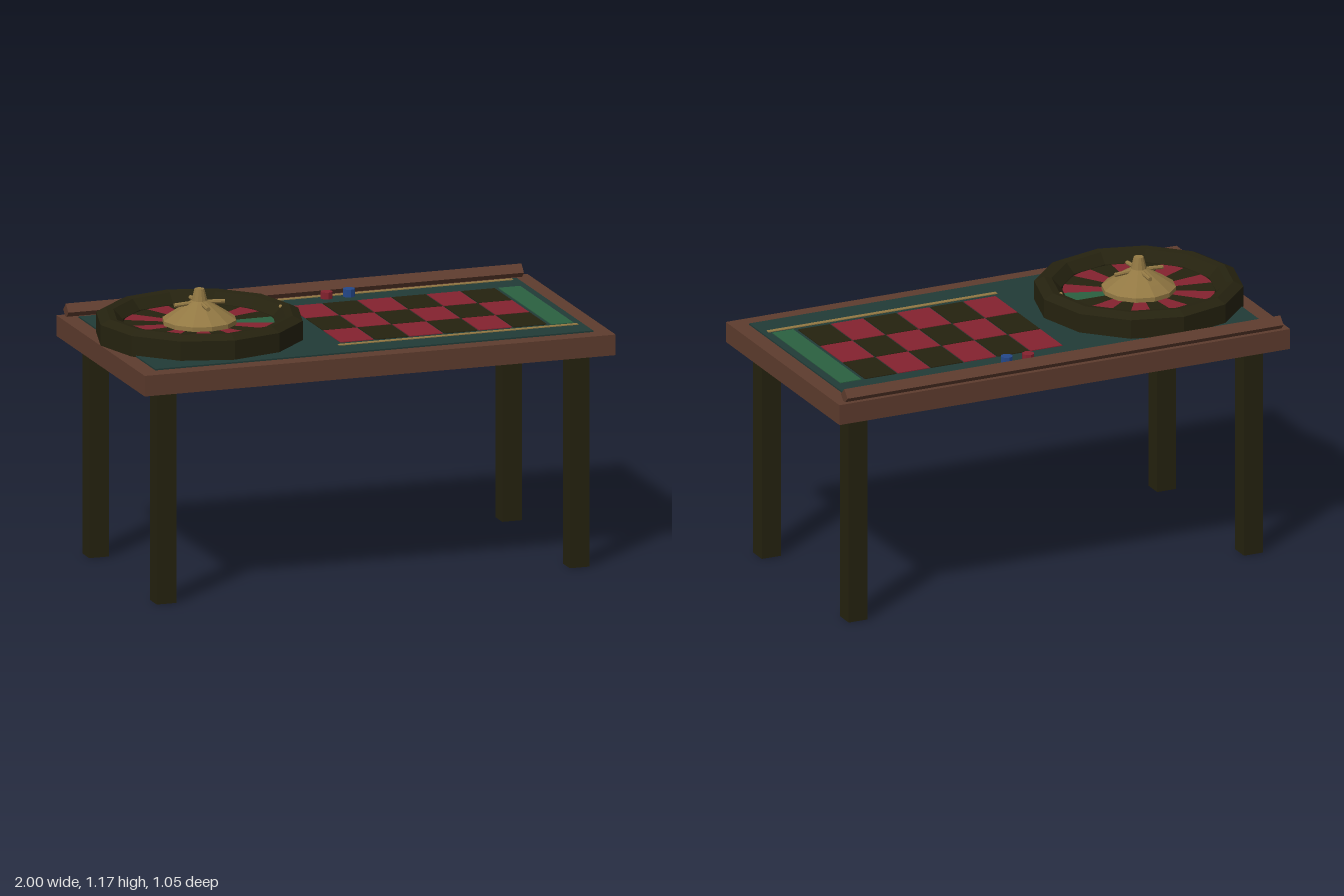
import * as THREE from 'three';

const mat = (name, color) => {
  const m = new THREE.MeshStandardMaterial({ color, flatShading: true });
  m.name = name;
  return m;
};

export function createModel() {
  const wood = mat('brown wood', 0x5e3c2e);
  const dark = mat('dark wood', 0x25220f);
  const felt = mat('teal felt', 0x213b37);
  const red = mat('red', 0x84222f);
  const green = mat('green', 0x2b6141);
  const gold = mat('brass', 0x927843);
  const blue = mat('blue', 0x24488a);

  const root = new THREE.Group();
  root.name = 'rouletteTable';
  const add = (name, geometry, material, x = 0, y = 0, z = 0, parent = root) => {
    const mesh = new THREE.Mesh(geometry, material);
    mesh.name = name;
    mesh.position.set(x, y, z);
    parent.add(mesh);
    return mesh;
  };
  // Box given by its minimum and maximum on each axis
  const box = (name, material, x0, x1, y0, y1, z0, z1) =>
    add(name, new THREE.BoxGeometry(x1 - x0, y1 - y0, z1 - z0), material,
      (x0 + x1) / 2, (y0 + y1) / 2, (z0 + z1) / 2);

  // Table
  box('tableTop', wood, -1, 1, 0.885, 0.97, -0.525, 0.525);
  box('feltSurface', felt, -0.93, 0.93, 0.968, 0.976, -0.455, 0.455);
  for (const sx of [-1, 1]) {
    for (const sz of [-1, 1]) {
      add('leg', new THREE.BoxGeometry(0.084, 0.885, 0.082), dark, sx * 0.877, 0.4425, sz * 0.401);
    }
  }

  // Diamond-section rail along the back edge
  const rail = add('backRail', new THREE.CylinderGeometry(0.031, 0.031, 1.935, 4), wood, -0.003, 0.992, -0.495);
  rail.rotation.z = Math.PI / 2;

  // Betting grid: chequered cells, end cell and border strips
  for (let row = 0; row < 3; row++) {
    for (let col = 0; col < 6; col++) {
      const x = -0.089 + col * 0.147;
      const z = -0.317 + row * 0.208;
      box('betCell', (row + col) % 2 ? dark : red, x, x + 0.141, 0.975, 0.979, z, z + 0.203);
    }
  }
  box('endCell', green, 0.803, 0.896, 0.975, 0.979, -0.317, 0.314);
  for (const z of [-0.435, 0.337]) box('borderStrip', gold, -0.11, 0.905, 0.975, 0.979, z - 0.01, z + 0.01);

  // Chip stacks
  add('redChips', new THREE.CylinderGeometry(0.025, 0.025, 0.028, 8), red, 0.103, 0.99, -0.4);
  add('blueChips', new THREE.CylinderGeometry(0.025, 0.025, 0.032, 8), blue, 0.198, 0.992, -0.4);

  // Wheel
  const wheel = new THREE.Group();
  wheel.name = 'wheel';
  wheel.position.x = -0.58;
  root.add(wheel);
  const lathe = (name, points, material) =>
    add(name, new THREE.LatheGeometry(points.map(p => new THREE.Vector2(...p)), 12), material, 0, 0, 0, wheel);

  lathe('wheelRim', [[0.42, 0.97], [0.42, 1.055], [0.38, 1.075], [0.35, 1.07], [0.312, 1.03], [0.312, 0.972]], dark);

  // Numbered pockets: one green, the rest alternating
  const pockets = 19;
  const step = (Math.PI * 2) / pockets;
  for (let k = 0; k < pockets; k++) {
    const pocket = new THREE.RingGeometry(0.1, 0.305, 1, 1, -(k + 1) * step, step).rotateX(-Math.PI / 2);
    add('pocket', pocket, k === 0 ? green : k % 2 ? red : dark, 0, 1.028, 0, wheel);
  }

  // Brass hub with four handles
  lathe('hub', [[0.15, 1.02], [0.15, 1.046], [0.105, 1.076], [0.032, 1.122], [0.02, 1.17], [0, 1.17]], gold);
  for (let i = 0; i < 4; i++) {
    const spoke = new THREE.CylinderGeometry(0.009, 0.009, 0.085, 8).rotateZ(Math.PI / 2 - 0.06);
    spoke.translate(0.064, 1.111, 0);
    add('handle', spoke.rotateY(i * Math.PI / 2), gold, 0, 0, 0, wheel);
  }

  // Small ball resting on the rim
  add('ball', new THREE.IcosahedronGeometry(0.008, 1), gold, 0.345, 1.066, 0, wheel);

  return root;
}
